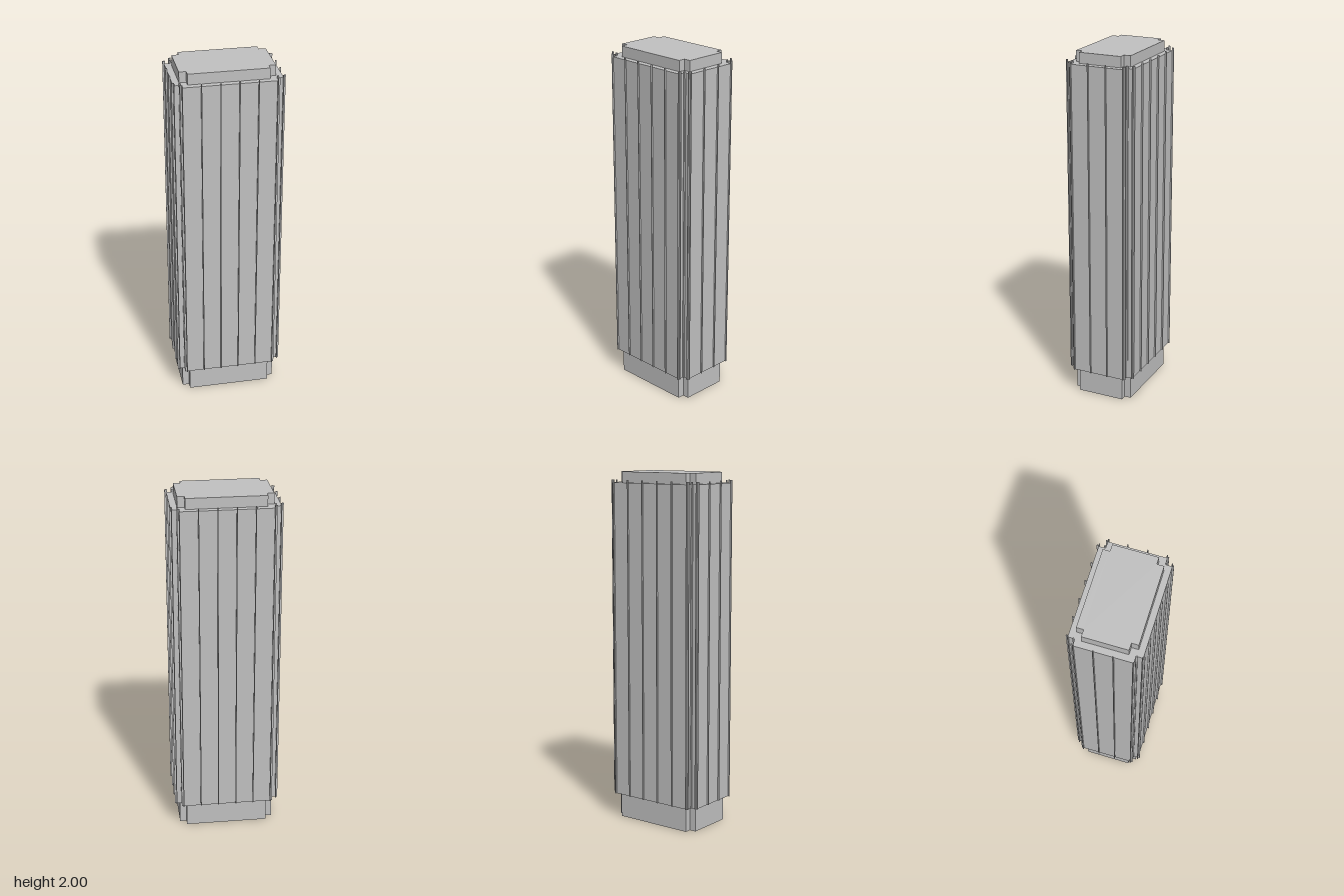
import * as THREE from 'three';

const BOTTOM = 0.14, ROOF = 1.94, FIN_TOP = 1.955;
const FIN_W = 0.005, FIN_D = 0.009;

// Rectangle with square notched corners: half sizes and notch positions
function outline(hx, hz, nx, nz) {
  return [
    [hx, -nz], [hx, nz], [nx, nz], [nx, hz], [-nx, hz], [-nx, nz],
    [-hx, nz], [-hx, -nz], [-nx, -nz], [-nx, -hz], [nx, -hz], [nx, -nz],
  ];
}

// Closed notched block between two heights
function block(points, y0, y1) {
  const shape = new THREE.Shape(points.map(([x, z]) => new THREE.Vector2(x, z)));
  const geo = new THREE.ExtrudeGeometry(shape, { depth: y1 - y0, bevelEnabled: false });
  geo.rotateX(-Math.PI / 2);
  geo.translate(0, y0, 0);
  return geo;
}

// Open ring of walls between two heights
function walls(points, y0, y1) {
  const pos = [];
  points.forEach(([ax, az], i) => {
    const [bx, bz] = points[(i + 1) % points.length];
    pos.push(ax, y0, az, ax, y1, az, bx, y1, bz);
    pos.push(ax, y0, az, bx, y1, bz, bx, y0, bz);
  });
  const geo = new THREE.BufferGeometry();
  geo.setAttribute('position', new THREE.Float32BufferAttribute(pos, 3));
  geo.computeVertexNormals();
  return geo;
}

export function createModel() {
  const group = new THREE.Group();
  group.name = 'tower';
  const grey = new THREE.MeshStandardMaterial({ color: 0xc0c0c0 });
  grey.name = 'grey';
  grey.side = THREE.DoubleSide;

  const add = (geo, name, parent = group) => {
    const mesh = new THREE.Mesh(geo, grey);
    mesh.name = name;
    parent.add(mesh);
  };

  // Hollow base, main shaft and roof block
  add(walls(outline(0.273, 0.173, 0.235, 0.135), 0, BOTTOM), 'base');
  add(block(outline(0.295, 0.194, 0.257, 0.157), BOTTOM, ROOF), 'shaft');
  add(block(outline(0.259, 0.16, 0.22, 0.122), ROOF, 2), 'roofBlock');

  // Vertical fins standing off the facades
  const fins = new THREE.Group();
  fins.name = 'fins';
  group.add(fins);
  const height = FIN_TOP - BOTTOM;
  const finZ = new THREE.BoxGeometry(FIN_W, height, FIN_D);
  const finX = new THREE.BoxGeometry(FIN_D, height, FIN_W);
  const addFin = (geo, x, z) => {
    add(geo, 'fin', fins);
    fins.children.at(-1).position.set(x, (BOTTOM + FIN_TOP) / 2, z);
  };
  const out = FIN_D / 2;
  for (const s of [-1, 1]) {
    // Front and back facades
    for (const x of [-0.2545, -0.153, -0.051, 0.051, 0.153, 0.2545]) addFin(finZ, x, s * (0.194 + out));
    // Side facades
    for (const z of [-0.1545, -0.052, 0.052, 0.1545]) addFin(finX, s * (0.295 + out), z);
    // Both walls of each corner notch
    for (const t of [-1, 1]) {
      for (const x of [0.2625, 0.2925]) addFin(finZ, s * x, t * (0.157 + out));
      for (const z of [0.1625, 0.1915]) addFin(finX, s * (0.257 + out), t * z);
    }
  }
  return group;
}
